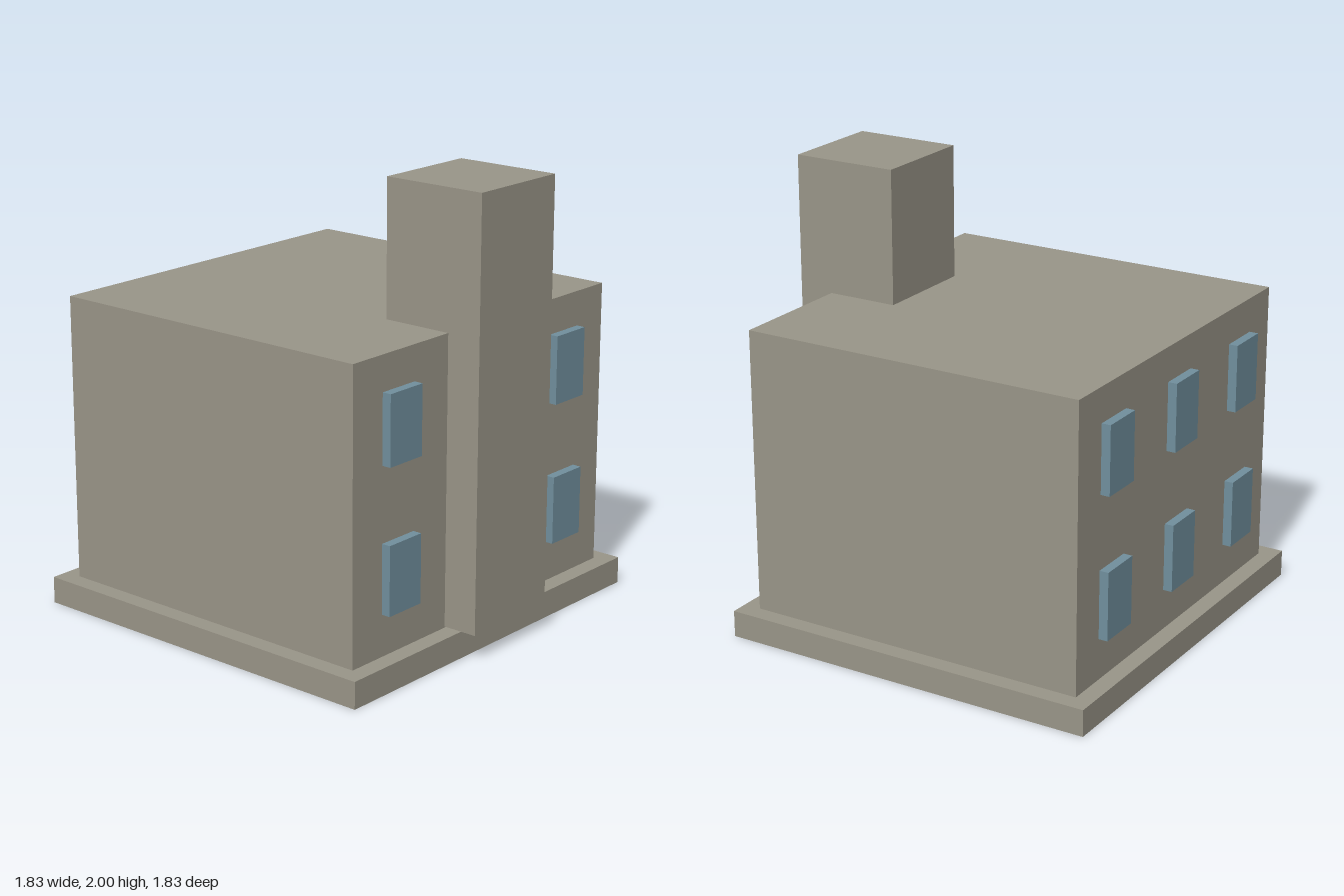
import * as THREE from 'three';

const stone = new THREE.MeshStandardMaterial({ name: 'stone', color: 0x999588 });
const glass = new THREE.MeshStandardMaterial({ name: 'blue glass', color: 0x718f9d });

// Box given by its minimum and maximum corners
function block(name, material, [x0, y0, z0], [x1, y1, z1]) {
  const mesh = new THREE.Mesh(new THREE.BoxGeometry(x1 - x0, y1 - y0, z1 - z0), material);
  mesh.position.set((x0 + x1) / 2, (y0 + y1) / 2, (z0 + z1) / 2);
  mesh.name = name;
  return mesh;
}

export function createModel() {
  const model = new THREE.Group();
  model.name = 'towerHouse';

  // Masonry: plinth, main block and the tower set into the front wall
  model.add(
    block('plinth', stone, [-0.915, 0, -0.915], [0.915, 0.12, 0.835]),
    block('mainBlock', stone, [-0.835, 0.12, -0.835], [0.835, 1.4, 0.755]),
    block('tower', stone, [-0.243, 0.125, 0.43], [0.243, 2, 0.915]),
  );

  // Two storeys of windows: two per row in front, three per row behind
  const windows = new THREE.Group();
  windows.name = 'windows';
  for (const y of [0.305, 0.94]) {
    for (const x of [-0.555, 0, 0.555]) {
      windows.add(block('backWindow', glass, [x - 0.099, y, -0.876], [x + 0.099, y + 0.305, -0.835]));
      if (x !== 0) {
        windows.add(block('frontWindow', glass, [x - 0.099, y, 0.755], [x + 0.099, y + 0.305, 0.796]));
      }
    }
  }
  model.add(windows);
  return model;
}
